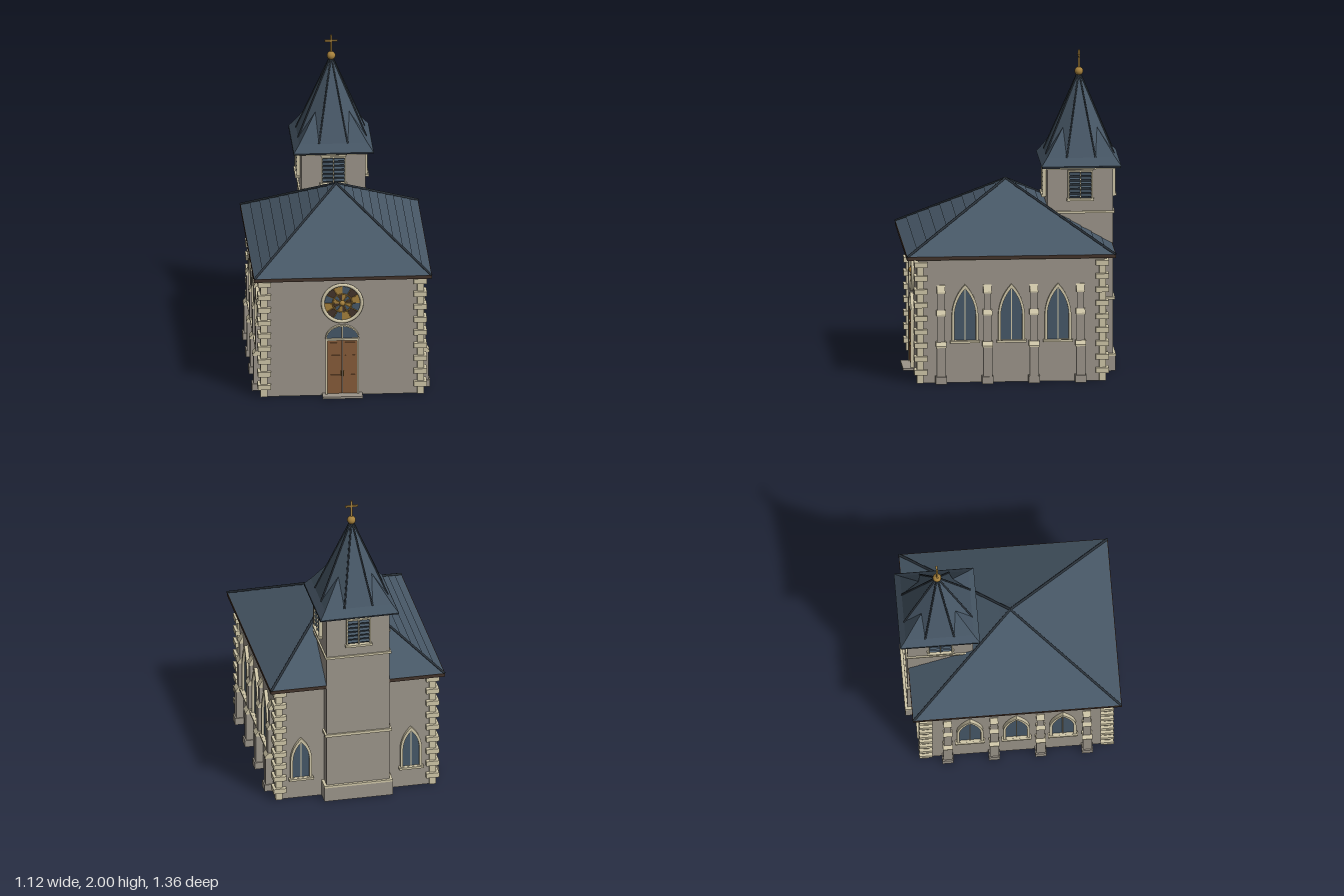
import * as THREE from 'three';

const mat = (name, color, side = THREE.FrontSide) => {
  const m = new THREE.MeshStandardMaterial({ color, side });
  m.name = name;
  return m;
};

export function createModel() {
  const stone = mat('wall stone', 0x9c958a), cream = mat('cream trim', 0xcfc6a8);
  const slate = mat('roof slate', 0x475766), dark = mat('dark ridge', 0x2b333b);
  const glass = mat('blue glass', 0x465868), wood = mat('door wood', 0x875c3a);
  const gold = mat('gold', 0xa5803c), brown = mat('eave brown', 0x43342b);

  const model = new THREE.Group();
  model.name = 'church';
  const group = (name, parent = model) => {
    const g = new THREE.Group();
    g.name = name;
    parent.add(g);
    return g;
  };
  const add = (parent, name, geo, m, x = 0, y = 0, z = 0) => {
    const mesh = new THREE.Mesh(geo, m);
    mesh.name = name;
    mesh.position.set(x, y, z);
    parent.add(mesh);
    return mesh;
  };
  const box = (parent, name, m, w, h, d, x, y, z) =>
    add(parent, name, new THREE.BoxGeometry(w, h, d), m, x, y, z);
  const extrude = (shape, depth) =>
    new THREE.ExtrudeGeometry(shape, { depth, bevelEnabled: false, curveSegments: 12 });
  // Thin rod between two points
  const rod = (parent, name, m, p, q, r) => {
    const a = new THREE.Vector3(...p), b = new THREE.Vector3(...q), d = b.clone().sub(a);
    const mesh = add(parent, name, new THREE.CylinderGeometry(r, r, d.length(), 6), m);
    mesh.position.copy(a).add(b).multiplyScalar(0.5);
    mesh.quaternion.setFromUnitVectors(new THREE.Vector3(0, 1, 0), d.normalize());
  };
  // Group on a wall, its local +z pointing outwards
  const onWall = (name, x, z, angle) => {
    const g = group(name);
    g.position.set(x, 0, z);
    g.rotation.y = angle;
    return g;
  };

  const HX = 0.5, ZF = 0.6, ZB = -0.56, ZC = 0.02;

  // Nave walls
  box(model, 'naveWalls', stone, HX * 2, 0.795, ZF - ZB, 0, 0.3975, ZC);
  box(model, 'naveCornice', cream, HX * 2 + 0.03, 0.014, ZF - ZB + 0.03, 0, 0.786, ZC);

  // Toothed corner stones
  const quoins = group('cornerStones');
  for (const sx of [1, -1]) for (const sz of [1, -1]) {
    for (let i = 0; i < 18; i++) {
      const big = i % 2 === 1, leg = big ? 0.055 : 0.032, out = big ? 0.027 : 0.01;
      const h = big ? 0.032 : 0.0535, y = Math.floor(i / 2) * 0.0855 + (big ? 0.0695 : 0.0268);
      const s = leg + out, off = (out - leg) / 2;
      box(quoins, 'cornerStone', cream, s, h, s, sx * (HX + off), y, (sz > 0 ? ZF : ZB) + sz * off);
    }
  }

  // Hipped roof in overlapping slate courses
  const roof = group('naveRoof');
  const RX = 0.555, RZ = 0.6525, RC = 0.0225, Y0 = 0.81, Y1 = 1.19, N = 10;
  box(roof, 'eaves', brown, RX * 2, 0.022, RZ * 2, 0, 0.801, RC);
  for (let i = 0; i < N; i++) {
    const h = (Y1 - Y0) / N, t = 1 - i / N, top = Math.max(0.002, t - 1 / N - 0.014);
    const geo = new THREE.CylinderGeometry(top * Math.SQRT2, t * Math.SQRT2, h, 4)
      .rotateY(Math.PI / 4).scale(RX, 1, RZ).toNonIndexed();
    geo.computeVertexNormals();
    add(roof, 'slateCourse', geo, slate, 0, Y0 + h * (i + 0.5), RC);
  }
  for (const sx of [1, -1]) for (const sz of [1, -1])
    rod(roof, 'hipRidge', dark, [sx * RX * 0.995, Y0 + 0.002, RC + sz * RZ * 0.995], [0, Y1, RC], 0.008);

  // Pointed arch outline
  const lancet = (Type, w, y0, spring, apex) => {
    const s = new Type(), h = apex - spring, R = (h * h + w * w) / (2 * w), a = Math.asin(h / R);
    s.moveTo(-w, y0);
    s.lineTo(w, y0);
    s.lineTo(w, spring);
    s.absarc(w - R, spring, R, 0, a, false);
    s.absarc(R - w, spring, R, Math.PI - a, Math.PI, false);
    s.lineTo(-w, y0);
    return s;
  };
  const lancetWindow = (x, z, angle, w, y0, spring, apex) => {
    const g = onWall('lancetWindow', x, z, angle), f = 0.016;
    const ring = lancet(THREE.Shape, w, y0, spring, apex);
    ring.holes.push(lancet(THREE.Path, w - f, y0 + 0.008, spring, apex - f * 1.6));
    add(g, 'windowFrame', extrude(ring, 0.022), cream);
    add(g, 'windowGlass', extrude(lancet(THREE.Shape, w - f / 2, y0, spring, apex - f), 0.006), glass);
    box(g, 'mullion', cream, 0.007, apex - y0 - 0.03, 0.008, 0, (apex + y0) / 2 - 0.01, 0.008);
    box(g, 'windowSill', cream, w * 2 + 0.02, 0.014, 0.032, 0, y0, 0.016);
  };

  // Side windows and stepped buttresses
  for (const s of [1, -1]) {
    const turn = s * Math.PI / 2;
    for (const z of [0.31, 0.02, -0.27]) lancetWindow(s * HX, z, turn, 0.083, 0.262, 0.42, 0.625);
    for (const z of [0.46, 0.17, -0.12, -0.41]) {
      const g = onWall('buttress', s * HX, z, turn);
      box(g, 'buttressFoot', stone, 0.07, 0.045, 0.055, 0, 0.0225, 0.0275);
      // [bottom, top, width, depth, next depth, cap height]
      for (const [y0, y1, w, d, d2, c] of [
        [0.045, 0.23, 0.056, 0.046, 0.032, 0.034],
        [0.23, 0.43, 0.05, 0.032, 0.022, 0.034],
        [0.43, 0.57, 0.044, 0.022, 0.004, 0.05]]) {
        box(g, 'buttressStage', stone, w, y1 - y0, d, 0, (y0 + y1) / 2, d / 2);
        const cap = new THREE.Shape();
        cap.moveTo(0, 0);
        cap.lineTo(d + 0.005, 0);
        cap.lineTo(d + 0.005, 0.01);
        cap.lineTo(d2, c);
        cap.lineTo(0, c);
        const geo = extrude(cap, w + 0.008).translate(0, 0, -(w + 0.008) / 2).rotateY(-Math.PI / 2);
        add(g, 'buttressCap', geo, cream, 0, y1, 0);
      }
    }
    lancetWindow(s * 0.35, ZB, Math.PI, 0.068, 0.14, 0.27, 0.425);
  }

  // Front door with fanlight
  const door = onWall('frontDoor', 0, ZF, 0);
  box(door, 'doorStep', stone, 0.25, 0.014, 0.07, 0, 0.007, 0.035);
  for (const s of [1, -1]) {
    box(door, 'doorLeaf', wood, 0.09, 0.355, 0.012, s * 0.0465, 0.1925, 0.006);
    for (const [y, h] of [[0.085, 0.11], [0.215, 0.11], [0.32, 0.07]])
      box(door, 'doorPanel', wood, 0.062, h, 0.008, s * 0.047, y, 0.014);
    box(door, 'doorHandle', gold, 0.005, 0.035, 0.012, s * 0.008, 0.15, 0.016);
    box(door, 'doorJamb', cream, 0.012, 0.375, 0.022, s * 0.098, 0.1875, 0.011);
  }
  box(door, 'transom', cream, 0.208, 0.012, 0.022, 0, 0.376, 0.011);
  const half = (Type, rx, ry) => {
    const s = new Type();
    s.moveTo(rx, 0);
    s.absellipse(0, 0, rx, ry, 0, Math.PI, false);
    s.lineTo(rx, 0);
    return s;
  };
  const fanRing = new THREE.Shape();
  fanRing.moveTo(0.106, 0);
  fanRing.absellipse(0, 0, 0.106, 0.09, 0, Math.PI, false);
  fanRing.lineTo(-0.098, 0);
  fanRing.absellipse(0, 0, 0.098, 0.082, Math.PI, 0, true);
  add(door, 'fanlightFrame', extrude(fanRing, 0.02), cream, 0, 0.38, 0);
  add(door, 'fanlightGlass', extrude(half(THREE.Shape, 0.1, 0.084), 0.008), glass, 0, 0.38, 0);
  box(door, 'fanlightBar', cream, 0.007, 0.082, 0.014, 0, 0.421, 0.007);

  // Rose window with coloured panes
  const rose = onWall('roseWindow', 0, ZF, 0);
  rose.position.y = 0.615;
  const panes = [gold, brown, glass], step = Math.PI / 6;
  for (let i = 0; i < 12; i++) {
    const a = i * step;
    add(rose, 'outerPane', new THREE.RingGeometry(0.06, 0.118, 4, 1, a, step), panes[i % 3], 0, 0, 0.008);
    add(rose, 'innerPane', new THREE.RingGeometry(0, 0.06, 4, 1, a, step), panes[(i + 1) % 3], 0, 0, 0.008);
    rod(rose, 'spoke', gold, [0, 0, 0.009], [0.118 * Math.cos(a), 0.118 * Math.sin(a), 0.009], 0.0025);
  }
  add(rose, 'innerRing', new THREE.TorusGeometry(0.06, 0.004, 6, 32), gold, 0, 0, 0.009);
  add(rose, 'outerRing', new THREE.TorusGeometry(0.122, 0.011, 8, 40), cream, 0, 0, 0.01);
  add(rose, 'roseBoss', new THREE.SphereGeometry(0.018, 16, 10), gold, 0, 0, 0.01);

  // Tower shaft and string courses
  const tower = group('tower');
  tower.position.z = -0.43;
  box(tower, 'towerWalls', stone, 0.4, 1.3, 0.41, 0, 0.65, 0);
  box(tower, 'towerPlinth', stone, 0.435, 0.095, 0.44, 0, 0.0475, 0);
  for (const [y, w, h] of [[0.101, 0.436, 0.014], [0.46, 0.424, 0.018], [1.01, 0.42, 0.014], [1.29, 0.42, 0.016]])
    box(tower, 'stringCourse', cream, w, h, w + 0.008, 0, y, 0);

  // Louvred belfry openings
  for (let k = 0; k < 4; k++) {
    const g = group('belfryOpening', tower);
    g.rotation.y = k * Math.PI / 2;
    const z = k % 2 ? 0.2 : 0.205;
    box(g, 'louvreBack', dark, 0.14, 0.17, 0.006, 0, 1.185, z + 0.002);
    for (let i = 0; i < 6; i++)
      box(g, 'louvre', slate, 0.136, 0.006, 0.02, 0, 1.117 + i * 0.027, z + 0.009).rotation.x = 0.6;
    box(g, 'louvreMullion', cream, 0.007, 0.17, 0.01, 0, 1.185, z + 0.017);
    for (const s of [1, -1]) box(g, 'louvreJamb', cream, 0.01, 0.18, 0.022, s * 0.073, 1.185, z + 0.011);
    box(g, 'louvreLintel', cream, 0.156, 0.01, 0.022, 0, 1.273, z + 0.011);
    box(g, 'louvreSill', cream, 0.17, 0.014, 0.032, 0, 1.092, z + 0.014);
  }

  // Broached octagonal spire over a flared square skirt
  const spire = group('spire', tower);
  spire.position.z = -0.005;
  box(spire, 'spireEaves', dark, 0.5, 0.012, 0.49, 0, 1.303, 0);
  const s = 0.249, a = 0.09, b = 0.213, yb = 1.357, ya = 1.87;
  const top = [0, ya, 0], C = [b, yb, b], P = [0.106, 1.53, 0.106];
  const L = [-a, yb, b], R = [a, yb, b], D = [b, yb, a];
  const S0 = [-s, 1.308, s], S1 = [s, 1.308, s], B0 = [-b, yb, b];
  const side = [L, R, top, R, D, top, R, C, P, C, D, P, S0, S1, C, S0, C, B0].flat();
  for (let k = 0; k < 4; k++) {
    const geo = new THREE.BufferGeometry();
    geo.setAttribute('position', new THREE.Float32BufferAttribute(side, 3));
    geo.computeVertexNormals();
    const g = group('spireQuarter', spire);
    g.rotation.y = k * Math.PI / 2;
    add(g, 'spireSlates', geo, slate);
    rod(g, 'spireRib', dark, L, top, 0.006);
    rod(g, 'spireRib', dark, R, top, 0.006);
  }

  // Finial ball and cross
  add(spire, 'finialBall', new THREE.SphereGeometry(0.027, 20, 14), gold, 0, 1.865, 0);
  box(spire, 'crossPost', gold, 0.011, 0.13, 0.011, 0, 1.935, 0);
  box(spire, 'crossBar', gold, 0.08, 0.011, 0.011, 0, 1.963, 0);

  return model;
}
